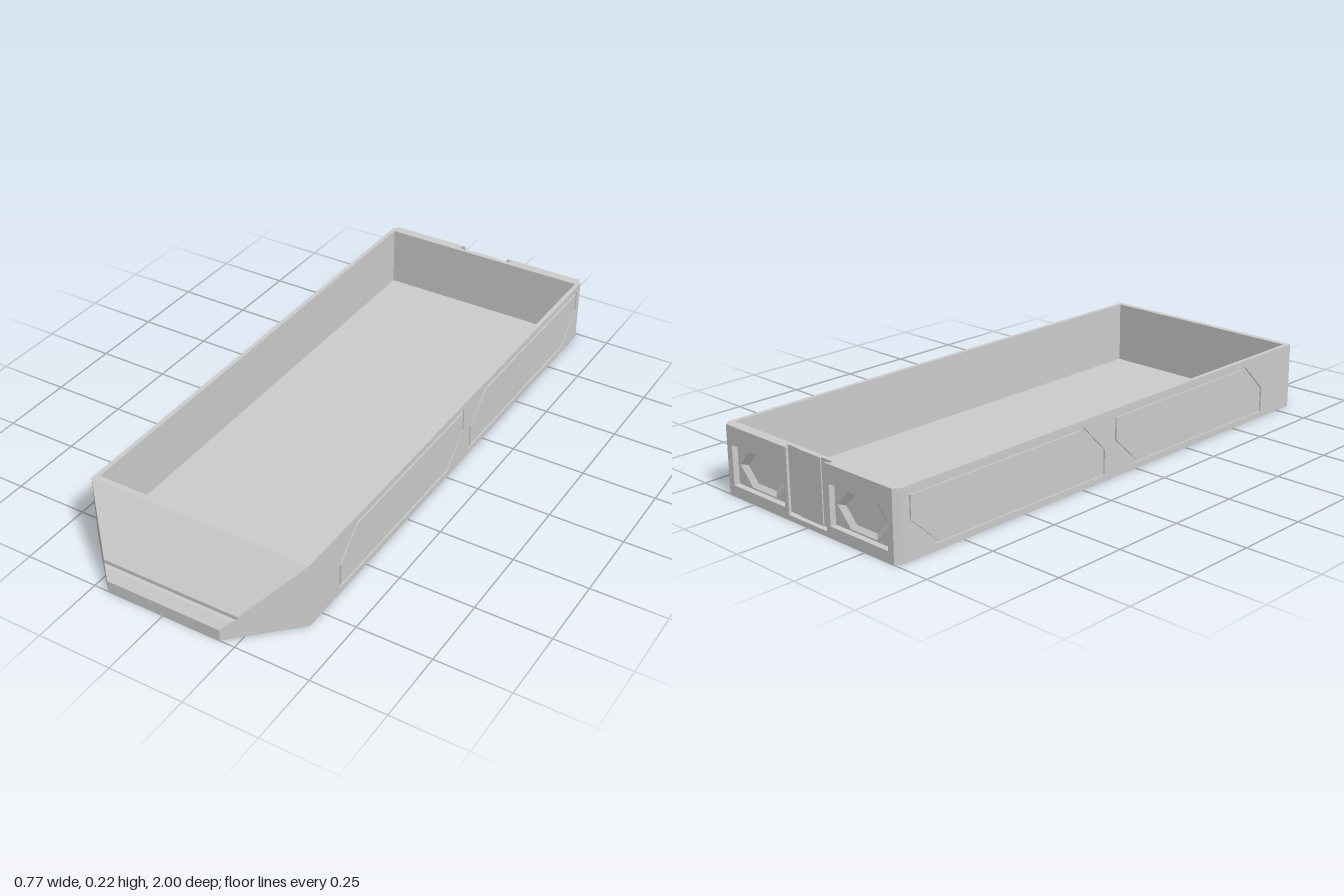
import * as THREE from 'three';

const W = 0.385, H = 0.225, ZN = 0.815; // half width, height, start of nose
const mat = new THREE.MeshStandardMaterial({ color: 0xcccccc, flatShading: true, side: THREE.DoubleSide });

const v2 = pts => pts.map(([x, y]) => new THREE.Vector2(x, y));

function add(group, name, geo) {
  const mesh = new THREE.Mesh(geo, mat);
  mesh.name = name;
  group.add(mesh);
  return mesh;
}

// box given by its minimum and maximum corners
function box(group, name, [x0, y0, z0], [x1, y1, z1]) {
  const geo = new THREE.BoxGeometry(x1 - x0, y1 - y0, z1 - z0);
  geo.translate((x0 + x1) / 2, (y0 + y1) / 2, (z0 + z1) / 2);
  return add(group, name, geo);
}

function plate(outline, holes, depth) {
  const shape = new THREE.Shape(v2(outline));
  for (const h of holes) shape.holes.push(new THREE.Path(v2(h)));
  return new THREE.ExtrudeGeometry(shape, { depth, bevelEnabled: false });
}

// one side wall at +x, with two panels outlined by grooves
function sideWall() {
  const g = new THREE.Group();
  const panel = (front, back) => [
    [-front, 0.022], [-front, 0.105], [-front + 0.098, 0.203], [-back, 0.203],
    [-back, 0.122], [-back - 0.1, 0.022]];
  const panels = [panel(0.655, -0.105), panel(-0.15, -0.955)];
  box(g, 'sideWallCore', [0.37, 0, -0.98], [0.38, H, ZN]);
  const skin = plate([[-ZN, 0], [0.98, 0], [0.98, H], [-ZN, H]], panels, 0.005);
  add(g, 'sideWallSkin', skin.rotateY(Math.PI / 2).translate(0.38, 0, 0));
  for (const p of panels) {
    const cu = (p[0][0] + p[3][0]) / 2, cv = 0.1125, half = Math.abs(p[3][0] - cu);
    const ku = 1 - 0.008 / half, kv = 1 - 0.008 / 0.09;
    const inner = p.map(([u, v]) => [cu + (u - cu) * ku, cv + (v - cv) * kv]);
    add(g, 'sidePanel', plate(inner, [], 0.005).rotateY(Math.PI / 2).translate(0.38, 0, 0));
  }
  // chamfered rear corner post
  const post = plate([[0.365, 1], [0.37, 1], [W, 0.98], [0.365, 0.98]], [], H);
  add(g, 'rearCornerPost', post.rotateX(-Math.PI / 2));
  return g;
}

// surface swept along a (z, y) profile whose half width narrows with z
function noseSurface(profile, reach) {
  const pos = [];
  const quad = (a, b, c, d) => pos.push(...a, ...b, ...c, ...a, ...c, ...d);
  for (let i = 0; i + 1 < profile.length; i++) {
    const [z0, y0] = profile[i], [z1, y1] = profile[i + 1];
    const w0 = reach - z0, w1 = reach - z1;
    quad([-w0, y0, z0], [-w1, y1, z1], [w1, y1, z1], [w0, y0, z0]);
    if (z0 === z1) continue;
    quad([w0, y0, z0], [w1, y1, z1], [w1, 0, z1], [w0, 0, z0]);
    quad([-w0, 0, z0], [-w1, 0, z1], [-w1, y1, z1], [-w0, y0, z0]);
  }
  const geo = new THREE.BufferGeometry();
  geo.setAttribute('position', new THREE.Float32BufferAttribute(pos, 3));
  geo.computeVertexNormals();
  return geo;
}

// hollow sloped nose with a step across it
function nose() {
  const g = new THREE.Group();
  add(g, 'noseShell', noseSurface(
    [[ZN, H], [0.962, 0.078], [0.962, 0.065], [0.975, 0.065], [1, 0.04], [1, 0]], 1.2));
  add(g, 'noseCavity', noseSurface([[ZN, 0.2], [0.98, 0.035], [0.98, 0]], 1.18));
  const rim = new THREE.ShapeGeometry(new THREE.Shape(v2([
    [-W, ZN], [-0.2, 1], [0.2, 1], [W, ZN],
    [0.365, ZN], [0.2, 0.98], [-0.2, 0.98], [-0.365, ZN]])));
  add(g, 'noseRim', rim.rotateX(Math.PI / 2));
  return g;
}

// rear wall with a central slot and two stepped light recesses
function rearWall() {
  const g = new THREE.Group();
  const cx = 0.225, cy = 0.1, rx = 0.112, ry = 0.06;
  const rect = s => [[s * cx - 0.122, 0.035], [s * cx + 0.122, 0.035], [s * cx + 0.122, 0.165], [s * cx - 0.122, 0.165]];
  const hex = s => Array.from({ length: 6 }, (_, i) => {
    const a = i * Math.PI / 3;
    return [s * cx + rx * Math.cos(a), cy + ry * Math.sin(a) / Math.sin(Math.PI / 3)];
  });
  const face = [[-0.365, 0], [0.365, 0], [0.365, H], [0.1, H], [0.1, 0.015], [-0.1, 0.015], [-0.1, H], [-0.365, H]];
  add(g, 'rearFace', plate(face, [rect(1), rect(-1)], 0.02).translate(0, 0, -1));
  const back = [[-0.37, 0], [0.37, 0], [0.37, H], [-0.37, H]];
  add(g, 'rearMiddle', plate(back, [hex(1), hex(-1)], 0.012).translate(0, 0, -0.98));
  box(g, 'rearInnerWall', [-0.37, 0, -0.968], [0.37, H, -0.965]);
  for (const s of [-1, 1]) {
    const funnel = new THREE.CylinderGeometry(0.78, 1, 0.012, 6, 1, true);
    funnel.rotateX(Math.PI / 2).rotateZ(Math.PI / 2).scale(rx, ry / Math.sin(Math.PI / 3), 1);
    add(g, 'lightRecess', funnel.translate(s * cx, cy, -0.974));
    const x = s * 0.093;
    box(g, 'slotLip', [x - 0.007, 0.015, -1], [x + 0.007, H, -0.993]);
  }
  box(g, 'slotPlate', [-0.05, 0.015, -0.984], [0.05, H, -0.98]);
  return g;
}

export function createModel() {
  const model = new THREE.Group();
  model.name = 'tray';
  box(model, 'floor', [-0.37, 0, -0.965], [0.37, 0.012, 0.795]);
  box(model, 'frontWall', [-0.37, 0, 0.795], [0.37, H, ZN]);
  const parts = { leftWall: sideWall(), rightWall: sideWall(), nose: nose(), rearWall: rearWall() };
  parts.rightWall.scale.x = -1;
  for (const [name, part] of Object.entries(parts)) {
    part.name = name;
    model.add(part);
  }
  return model;
}
